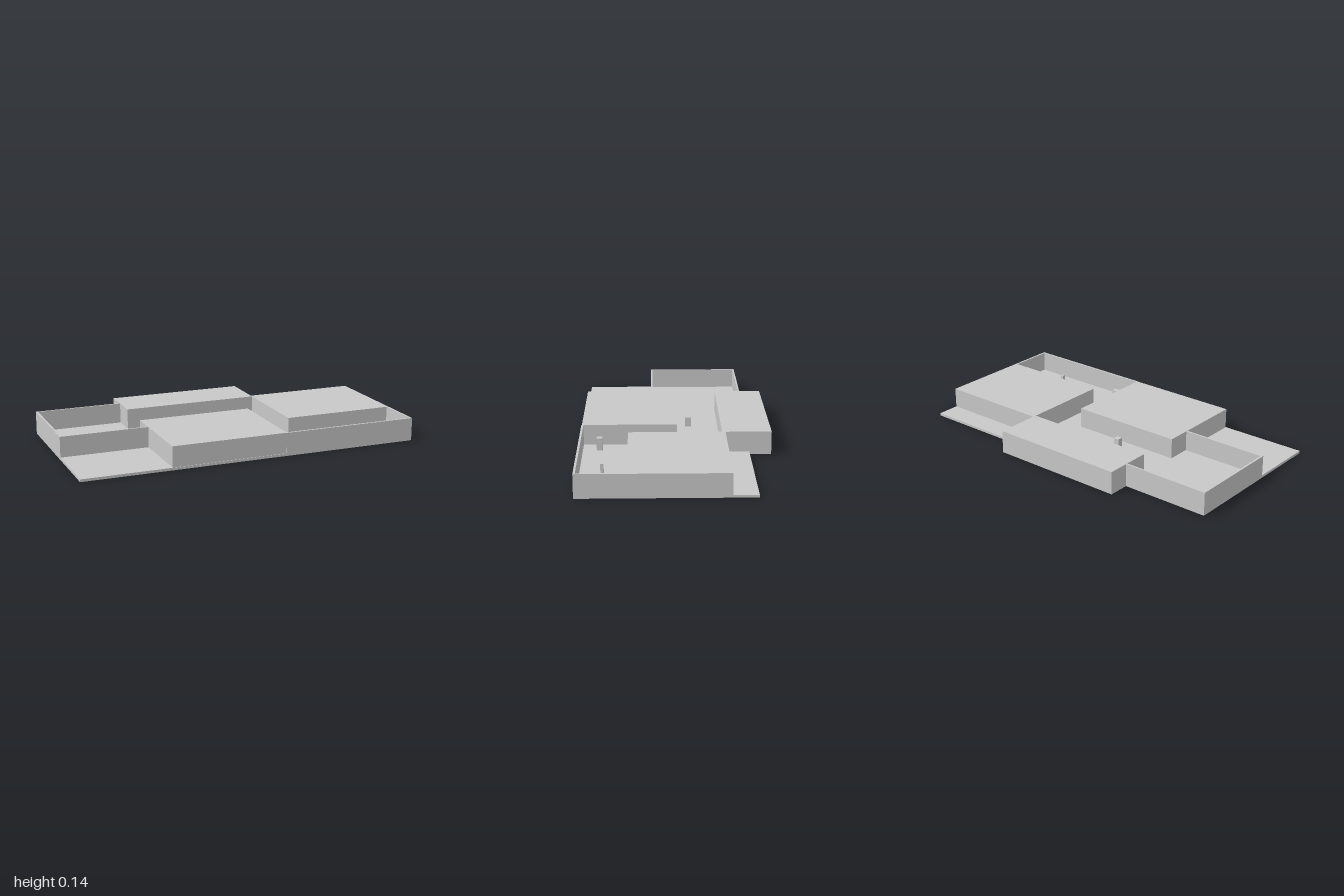
import * as THREE from 'three';

export function createModel() {
  const model = new THREE.Group();
  const grey = new THREE.MeshStandardMaterial({ color: 0xc8c8c8 });
  grey.name = 'plain grey';

  // box given by its extents on each axis
  const block = (name, [x0, x1], [y0, y1], [z0, z1]) => {
    const mesh = new THREE.Mesh(new THREE.BoxGeometry(x1 - x0, y1 - y0, z1 - z0), grey);
    mesh.position.set((x0 + x1) / 2, (y0 + y1) / 2, (z0 + z1) / 2);
    mesh.name = name;
    model.add(mesh);
  };

  const FLOOR = 0.015, TOP = 0.135;
  const storey = [FLOOR, TOP];

  // ground slab
  block('groundSlab', [-1, 1], [0, FLOOR], [-0.42, 0.54]);

  // three flat-roofed building volumes
  block('backBuilding', [-0.48, 0.335], [0, TOP], [-0.545, -0.263]);
  block('frontBuilding', [-0.485, 0.195], storey, [-0.012, 0.537]);
  block('sideBuilding', [0.333, 1], storey, [-0.283, 0.268]);

  // courtyard walls at the back corner
  block('backCourtWall', [-1, -0.48], storey, [-0.42, -0.41]);
  block('sideCourtWall', [-1, -0.988], storey, [-0.42, 0.138]);
  block('innerCourtWall', [-1, -0.485], storey, [0.128, 0.138]);

  // courtyard walls at the front corner
  block('frontYardWall', [0.195, 1], storey, [0.528, 0.54]);
  block('sideYardWall', [0.988, 1], storey, [0.268, 0.54]);

  // free-standing posts: x, z, width, top
  [
    [-0.15, -0.085, 0.034, 0.07],
    [0.283, 0.432, 0.034, 0.087],
    [0.708, 0.402, 0.018, 0.087],
  ].forEach(([x, z, w, top], i) =>
    block(`post${i + 1}`, [x - w / 2, x + w / 2], [FLOOR, top], [z - w / 2, z + w / 2]));

  return model;
}
